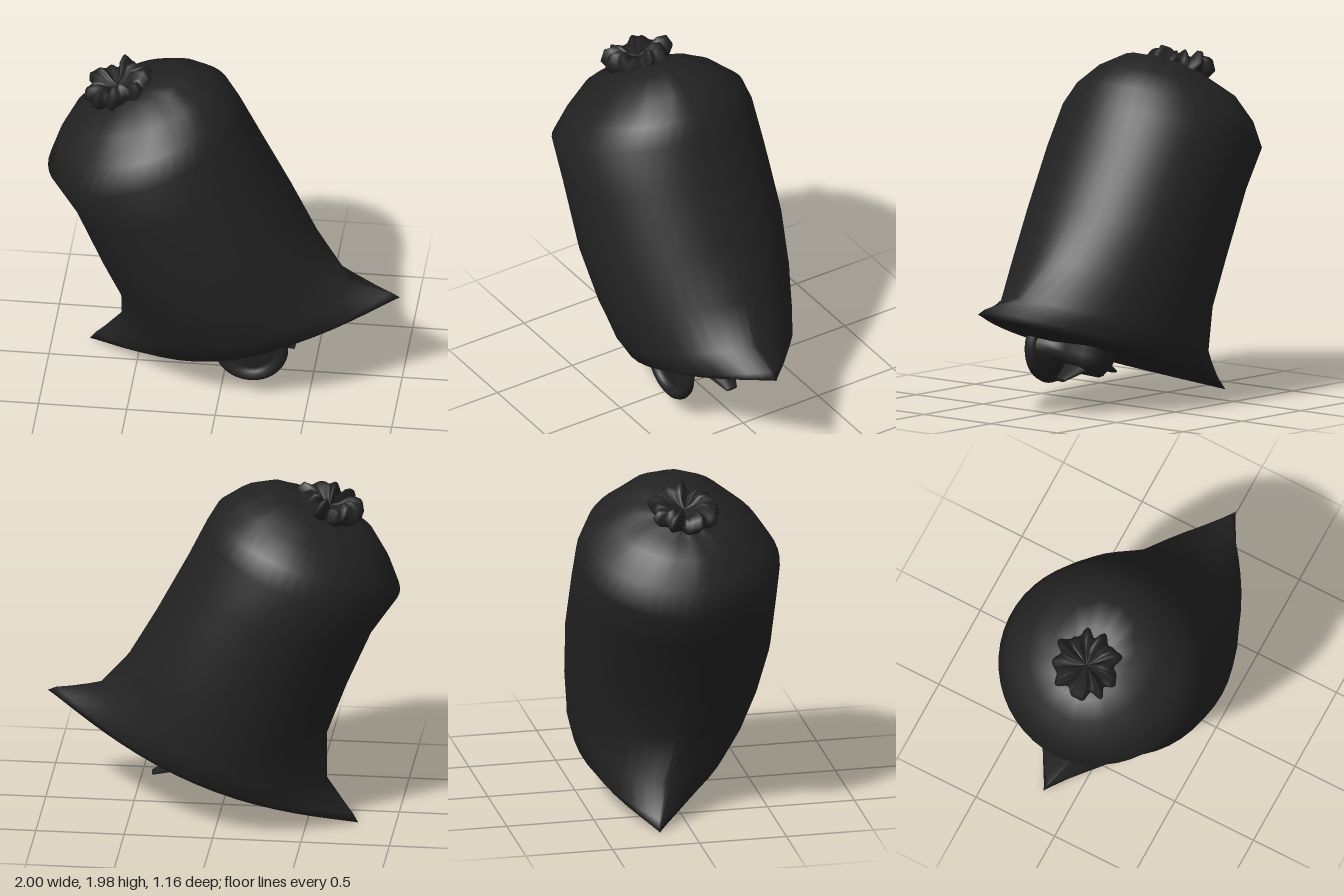
import * as THREE from 'three';

const plastic = new THREE.MeshStandardMaterial({ color: 0x222222, side: THREE.DoubleSide });
plastic.name = 'black plastic';

// Skin a list of closed rings, each a function of the angle returning [x, y, z]
function loft(name, rings, n) {
  const pos = [], idx = [];
  rings.forEach((ring) => {
    for (let i = 0; i < n; i++) pos.push(...ring((i / n) * Math.PI * 2));
  });
  for (let j = 0; j < rings.length - 1; j++) {
    for (let i = 0; i < n; i++) {
      const a = j * n + i, b = j * n + ((i + 1) % n), c = a + n, d = b + n;
      idx.push(a, c, b, c, d, b);
    }
  }
  const g = new THREE.BufferGeometry();
  g.setAttribute('position', new THREE.Float32BufferAttribute(pos, 3));
  g.setIndex(idx);
  g.computeVertexNormals();
  const mesh = new THREE.Mesh(g, plastic);
  mesh.name = name;
  return mesh;
}

// One bag section: height, left, right, front and back extent, corner sharpness,
// seam twist, pleat depth, sideways tilt
function section([y, left, right, front, back, power, twist, pleat = 0, tilt = 0]) {
  const mid = (left + right) / 2, half = (right - left) / 2;
  return (t) => {
    const s = Math.sin(t), c = Math.cos(t);
    const fold = 1 + pleat * Math.sin(11 * t + Math.sin(2 * t));
    const z = (s > 0 ? front : -back) * Math.abs(s) ** power;
    return [mid + half * c * fold, y + tilt * c, z * fold + twist * (c - 0.3)];
  };
}

// Flat lens-shaped base, rounding into the sides and drawn in at the neck
const bagSections = [
  [0.00, 0, 0, 0, 0, 1, 0],
  [0.00, -0.55, 0.55, 0.20, 0.24, 2.2, 0.08],
  [0.00, -0.94, 0.95, 0.40, 0.41, 2.3, 0.14],
  [0.04, -0.89, 0.91, 0.48, 0.46, 2.1, 0.13],
  [0.15, -0.69, 0.70, 0.52, 0.51, 1.45, 0.08],
  [0.39, -0.60, 0.60, 0.56, 0.55, 1.12, 0.03],
  [0.70, -0.61, 0.54, 0.58, 0.58, 1.0, 0],
  [1.08, -0.64, 0.48, 0.58, 0.58, 0.98, 0],
  [1.33, -0.71, 0.45, 0.57, 0.58, 1.03, 0],
  [1.46, -0.61, 0.425, 0.48, 0.53, 1.03, 0],
  [1.58, -0.49, 0.34, 0.35, 0.39, 1, 0, 0.01],
  [1.65, -0.37, 0.21, 0.21, 0.25, 1, 0, 0.03, 0.03],
  [1.665, -0.30, 0.06, 0.14, 0.16, 1, 0, 0.06, 0.03],
  [1.67, -0.26, -0.06, 0.10, 0.10, 1, 0, 0.1, 0.01],
];

// Crumpled ring of the gathered mouth
function ruffle(r, y, wave, lift) {
  return (t) => {
    const w = Math.sin(9 * t + 0.8 * Math.sin(3 * t)) + 0.45 * Math.sin(14 * t + 1);
    const rad = r * (1 + wave * w);
    return [
      -0.17 + rad * Math.cos(t),
      y + lift * (Math.sin(7 * t + 2 * Math.cos(2 * t)) + 0.5 * Math.sin(13 * t)),
      rad * Math.sin(t) - 0.005,
    ];
  };
}

export function createModel() {
  const model = new THREE.Group();
  model.name = 'tiedSack';

  // Leaning bag
  const bag = new THREE.Group();
  bag.name = 'bag';
  bag.position.set(0.1, 0.31, 0);
  bag.rotation.z = 0.329;
  model.add(bag);
  bag.add(loft('bagBody', bagSections.map(section), 48));

  // Gathered mouth on top
  bag.add(loft('gatheredMouth', [
    ruffle(0.11, 1.62, 0.05, 0),
    ruffle(0.16, 1.655, 0.10, 0.01),
    ruffle(0.185, 1.70, 0.11, 0.015),
    ruffle(0.16, 1.75, 0.12, 0.02),
    ruffle(0.11, 1.745, 0.14, 0.025),
    ruffle(0.06, 1.71, 0.12, 0.015),
    ruffle(0, 1.70, 0, 0),
  ], 72));

  // Tie under the base
  const tie = new THREE.Group();
  tie.name = 'tie';
  tie.position.set(0.175, 0.325, 0);
  model.add(tie);

  // Open loop handle
  const loop = new THREE.Mesh(new THREE.TorusGeometry(0.175, 0.037, 10, 28, Math.PI * 1.24), plastic);
  loop.name = 'tieLoop';
  loop.rotation.z = Math.PI * 0.97;
  loop.position.z = 0.272;
  tie.add(loop);

  // Gathered knot running back from the loop
  const knotSections = [
    [-0.14, 0], [-0.14, 0.09], [-0.08, 0.14], [0.06, 0.13], [0.17, 0.11], [0.235, 0.17], [0.255, 0.165], [0.255, 0],
  ];
  tie.add(loft('tieKnot', knotSections.map(([z, r]) => (t) => {
    const rad = r * (1 + 0.06 * Math.sin(5 * t + z * 9));
    return [rad * Math.cos(t), -rad * Math.sin(t), z];
  }), 24));

  // Pointed loose ends to either side
  for (const side of [-1, 1]) {
    const end = new THREE.Mesh(new THREE.CylinderGeometry(0.022, 0.08, 0.22, 8), plastic);
    end.name = side > 0 ? 'leftTieEnd' : 'rightTieEnd';
    end.scale.set(0.5, 1, 1.6);
    end.position.set(side * 0.12, -0.1, 0.01);
    end.rotation.z = -side * 1.98;
    tie.add(end);
  }
  return model;
}
